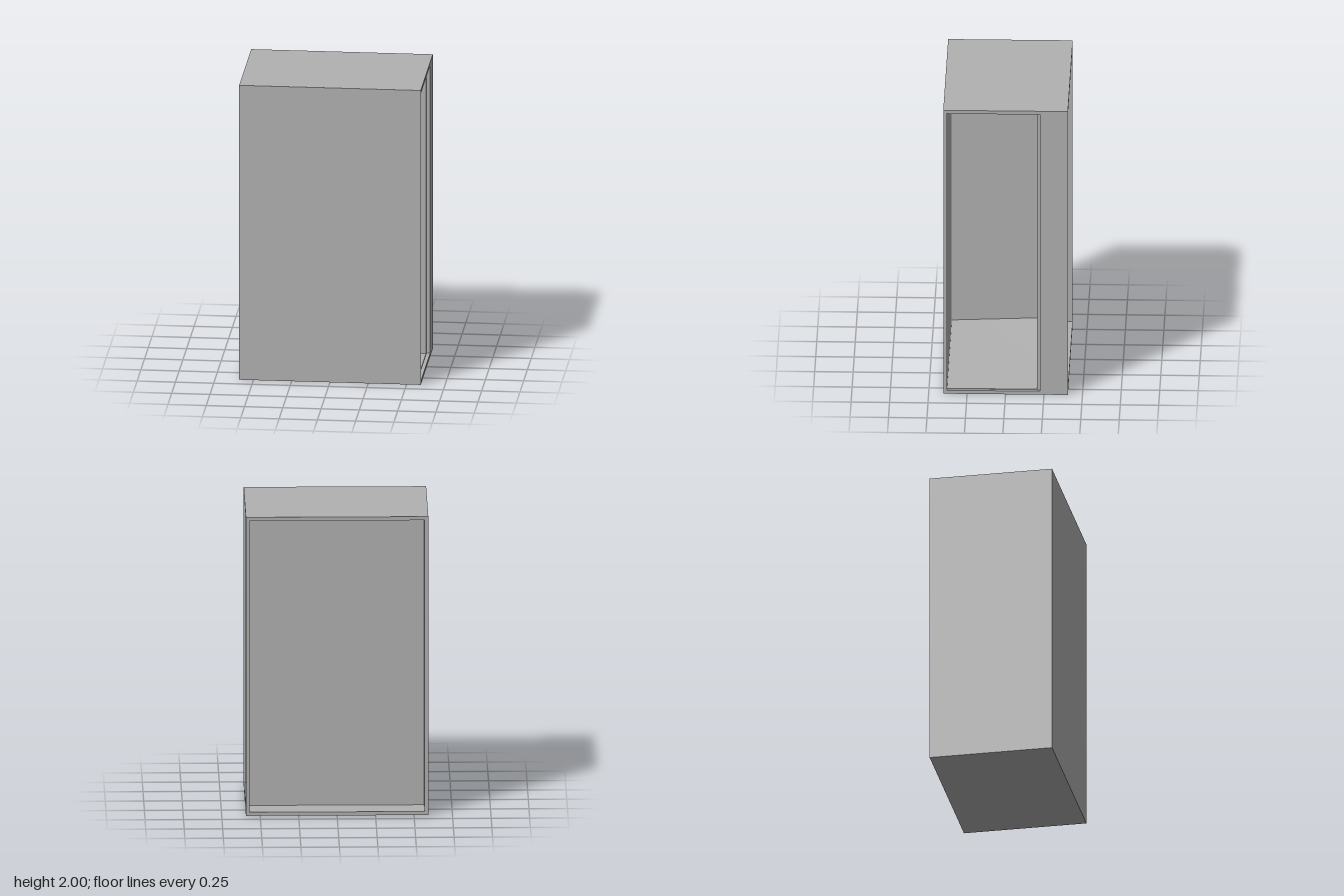
import * as THREE from 'three';

export function createModel() {
  const group = new THREE.Group();
  group.name = 'openCabinet';
  const grey = new THREE.MeshStandardMaterial({ color: 0xb2b2b2 });
  grey.name = 'plain grey';

  // outer half width, height, half depth and wall thickness
  const W = 0.593, H = 2, D = 0.405, T = 0.024;
  // divider between the side cavity and the back recess
  const dividerFront = -0.203, dividerBack = -0.225;

  const add = (name, geometry) => {
    const mesh = new THREE.Mesh(geometry, grey);
    mesh.name = name;
    group.add(mesh);
  };
  // box from its limits on each axis
  const slab = (x0, x1, y0, y1, z0, z1) =>
    new THREE.BoxGeometry(x1 - x0, y1 - y0, z1 - z0)
      .translate((x0 + x1) / 2, (y0 + y1) / 2, (z0 + z1) / 2);

  // closed shell: front, left-hand wall, top and bottom
  add('topPanel', slab(-W, W, H - T, H, -D, D));
  add('bottomPanel', slab(-W, W, 0, T, -D, D));
  add('frontPanel', slab(-W, W, T, H - T, D - T, D));
  add('closedSideWall', slab(-W, -W + T, T, H - T, -D, D - T));

  // side wall behind the tall opening
  add('openSideRearWall', slab(W - T, W, T, H - T, -D, dividerBack));

  // upright divider, set in from the opening
  add('dividerPanel', slab(-W + T, W - T, T, H - T, dividerBack, dividerFront));

  // cavity floor, rising slightly toward the far rear corner
  const floor = new THREE.BoxGeometry(2 * (W - T), 0.004, D - T - dividerFront);
  floor.translate(0, T + 0.002, (D - T + dividerFront) / 2);
  const p = floor.attributes.position;
  for (let i = 0; i < p.count; i++) {
    if (p.getY(i) > T + 0.002 && p.getX(i) < 0 && p.getZ(i) < 0) p.setY(i, 0.05);
  }
  floor.computeVertexNormals();
  add('cavityFloor', floor);

  return group;
}
